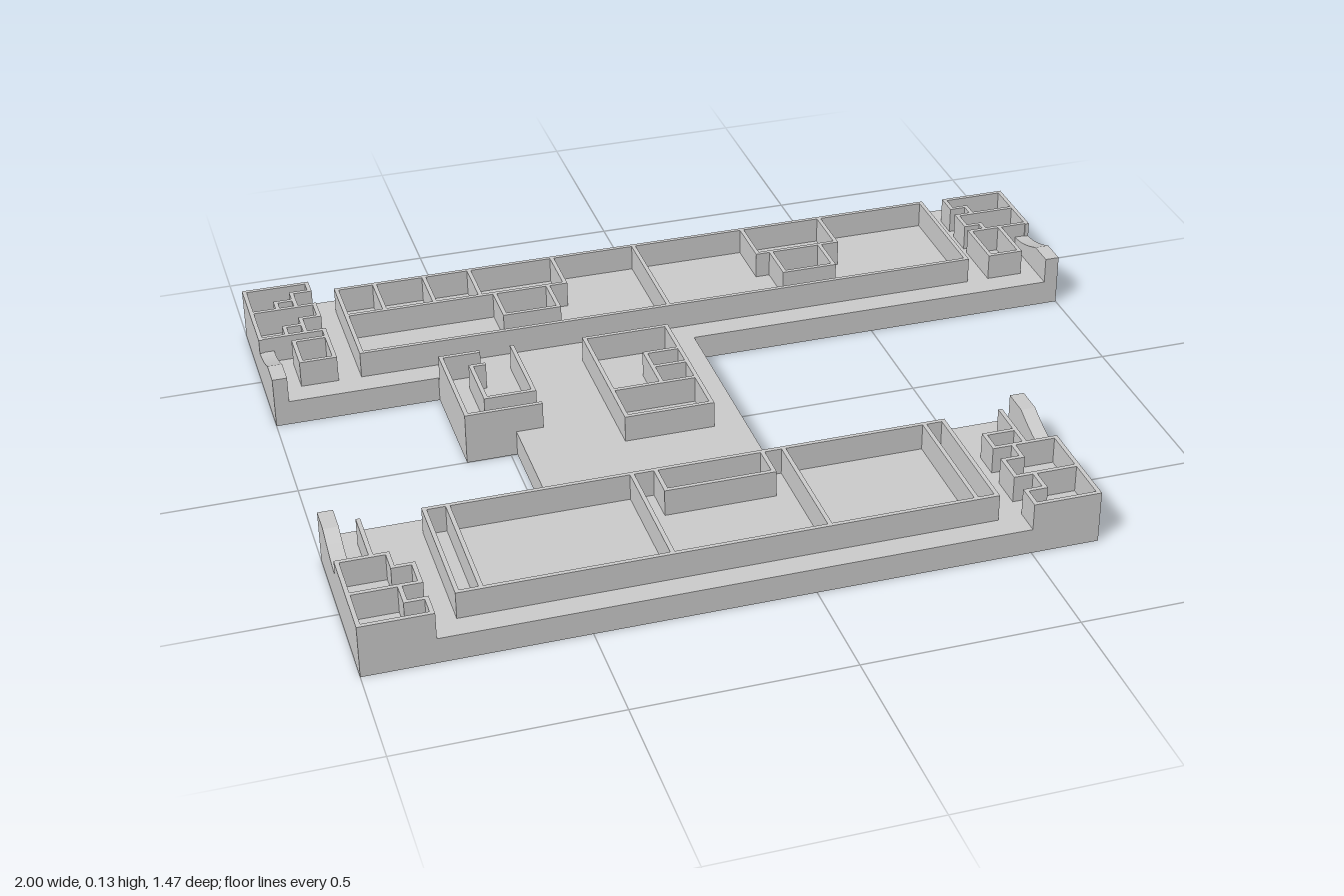
import * as THREE from 'three';

export function createModel() {
  const model = new THREE.Group();
  const mat = new THREE.MeshStandardMaterial({ color: 0xcccccc, flatShading: true, side: THREE.DoubleSide });
  const FLOOR = 0.062, TOP = 0.127, T = 0.01;

  // Slab: two long wings, a connecting hall and a side annex
  const outline = [
    [-1, -0.735], [1, -0.735], [1, -0.29], [0.035, -0.29], [0.035, 0.29], [0.66, 0.29], [0.66, 0.73],
    [-1, 0.73], [-1, 0.29], [-0.485, 0.29], [-0.485, 0], [-0.605, 0], [-0.605, -0.29], [-1, -0.29],
  ];
  const slabShape = new THREE.Shape(outline.map(([x, z]) => new THREE.Vector2(x, -z)));
  const slabGeo = new THREE.ExtrudeGeometry(slabShape, { depth: FLOOR, bevelEnabled: false });
  slabGeo.rotateX(-Math.PI / 2);
  const slab = new THREE.Mesh(slabGeo, mat);
  slab.name = 'floorSlab';
  model.add(slab);

  // Thin upright walls following paths of [x, z] corners
  function walls(name, paths) {
    const group = new THREE.Group();
    group.name = name;
    for (const path of paths) {
      for (let i = 1; i < path.length; i++) {
        const [x0, z0] = path[i - 1], [x1, z1] = path[i];
        const geo = new THREE.BoxGeometry(Math.abs(x1 - x0) + T, TOP - FLOOR, Math.abs(z1 - z0) + T);
        const wall = new THREE.Mesh(geo, mat);
        wall.name = 'wall';
        wall.position.set((x0 + x1) / 2, (FLOOR + TOP) / 2, (z0 + z1) / 2);
        group.add(wall);
      }
    }
    model.add(group);
  }
  const room = (x0, z0, x1, z1) => [[x0, z0], [x1, z0], [x1, z1], [x0, z1], [x0, z0]];
  const cross = (x, z0, z1) => [[x, z0], [x, z1]];

  // Back wing rooms
  walls('backWingRooms', [
    room(-0.775, -0.675, 0.775, -0.355),
    cross(-0.01, -0.675, -0.355),
    [[-0.775, -0.54], [-0.225, -0.54], [-0.225, -0.675]],
    ...[-0.68, -0.555, -0.44].map((x) => cross(x, -0.675, -0.54)),
    [[-0.405, -0.54], [-0.405, -0.43], [-0.27, -0.43], [-0.27, -0.54]],
    [[0.28, -0.675], [0.28, -0.54], [0.49, -0.54], [0.49, -0.675]],
    [[0.315, -0.54], [0.315, -0.43], [0.445, -0.43], [0.445, -0.54]],
  ]);

  // Front wing rooms
  walls('frontWingRooms', [
    room(-0.775, 0.345, 0.437, 0.668),
    ...[-0.723, -0.305, 0.05, 0.39].map((x) => cross(x, 0.345, 0.668)),
    [[-0.25, 0.345], [-0.25, 0.43], [0, 0.43], [0, 0.345]],
  ]);

  // Hall room with its small closets
  walls('hallRoom', [
    room(-0.25, -0.26, -0.045, 0.11),
    [[-0.25, -0.01], [-0.045, -0.01]],
    [[-0.13, -0.01], [-0.13, -0.15], [-0.045, -0.15]],
    [[-0.13, -0.085], [-0.045, -0.085]],
  ]);

  // Annex beside the hall
  walls('annexRoom', [
    [[-0.51, -0.275], [-0.6, -0.275], [-0.6, -0.005], [-0.425, -0.005]],
    [[-0.51, -0.215], [-0.54, -0.215], [-0.54, -0.065], [-0.425, -0.065], [-0.425, -0.275]],
  ]);

  // Stepped rooms at the four wing ends
  walls('backRightEndRooms', [
    [[-0.995, -0.73], [-0.84, -0.73], [-0.84, -0.69], [-0.885, -0.69], [-0.885, -0.62]],
    [[-0.995, -0.62], [-0.84, -0.62], [-0.84, -0.56], [-0.885, -0.56], [-0.885, -0.49]],
    [[-0.93, -0.62], [-0.93, -0.655], [-0.885, -0.655]],
    [[-0.93, -0.49], [-0.93, -0.53], [-0.885, -0.53]],
    [[-0.995, -0.49], [-0.84, -0.49], [-0.84, -0.455]],
    room(-0.92, -0.455, -0.84, -0.355),
  ]);
  walls('backLeftEndRooms', [
    [[0.995, -0.67], [0.84, -0.67], [0.84, -0.62], [0.88, -0.62], [0.88, -0.58]],
    [[0.995, -0.58], [0.84, -0.58], [0.84, -0.52], [0.88, -0.52], [0.88, -0.49]],
    [[0.995, -0.49], [0.84, -0.49]],
    room(0.84, -0.49, 0.92, -0.355),
  ]);
  walls('frontRightEndRooms', [
    [[-0.995, 0.725], [-0.84, 0.725], [-0.84, 0.67], [-0.885, 0.67], [-0.885, 0.61]],
    [[-0.995, 0.61], [-0.84, 0.61], [-0.84, 0.54], [-0.885, 0.54], [-0.885, 0.487], [-0.995, 0.487]],
    cross(-0.92, 0.345, 0.487),
  ]);
  walls('frontLeftEndRooms', [
    [[0.655, 0.725], [0.505, 0.725], [0.505, 0.67], [0.55, 0.67], [0.55, 0.61]],
    [[0.655, 0.61], [0.505, 0.61], [0.505, 0.54], [0.55, 0.54], [0.55, 0.487]],
    [[0.655, 0.487], [0.505, 0.487], [0.505, 0.43], [0.58, 0.43]],
    cross(0.58, 0.345, 0.487),
  ]);

  // End walls: thin along the rooms, thick with a curved dip near the inner edge
  function endWall(name, x, side, zSign, zEnd) {
    const s = new THREE.Shape();
    s.moveTo(0.29, FLOOR);
    s.lineTo(0.29, TOP);
    s.lineTo(0.357, TOP);
    s.quadraticCurveTo(0.435, 0.091, 0.487, 0.091);
    s.lineTo(0.487, FLOOR);
    const geo = new THREE.ExtrudeGeometry(s, { depth: 0.035, bevelEnabled: false, curveSegments: 8 });
    geo.rotateY(-Math.PI / 2);
    if (zSign < 0) geo.rotateY(Math.PI);
    geo.computeBoundingBox();
    const b = geo.boundingBox;
    geo.translate(side > 0 ? x - b.max.x : x - b.min.x, 0, 0);
    const group = new THREE.Group();
    group.name = name;
    const dip = new THREE.Mesh(geo, mat);
    dip.name = 'curvedParapet';
    const len = zEnd - 0.482;
    const thin = new THREE.Mesh(new THREE.BoxGeometry(T, TOP - FLOOR, len), mat);
    thin.name = 'outerWall';
    thin.position.set(x - side * T / 2, (FLOOR + TOP) / 2, zSign * (0.482 + len / 2));
    group.add(dip, thin);
    model.add(group);
  }
  endWall('backRightEndWall', -1, -1, -1, 0.735);
  endWall('backLeftEndWall', 1, 1, -1, 0.675);
  endWall('frontRightEndWall', -1, -1, 1, 0.73);
  endWall('frontLeftEndWall', 0.66, 1, 1, 0.73);

  return model;
}
